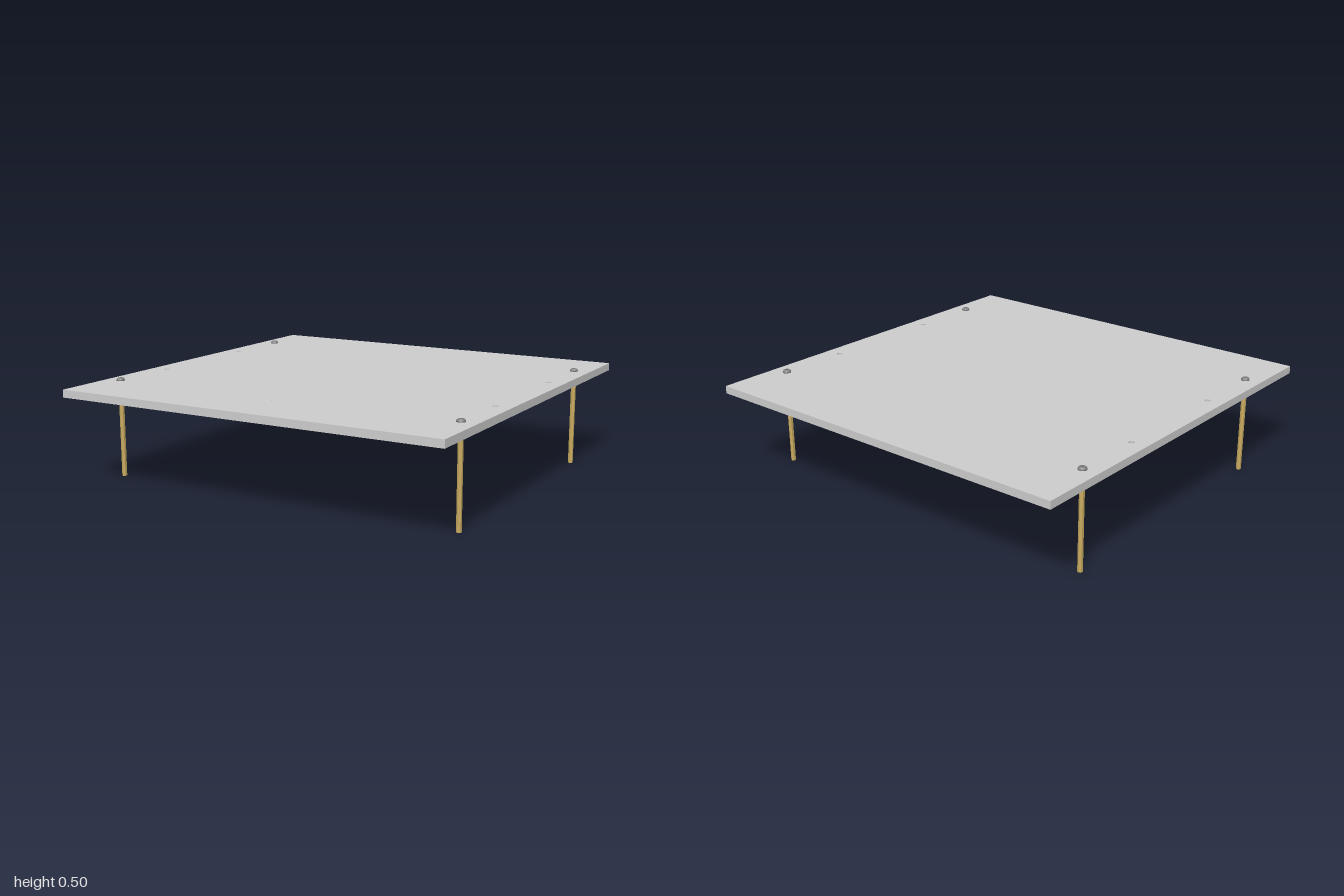
import * as THREE from 'three';

const PLATE_BOTTOM = 0.445, PLATE_TOP = 0.483;
const POST_X = 0.92, POST_Z = 0.68;

const plateMat = new THREE.MeshStandardMaterial({ color: 0xcccccc });
const brassMat = new THREE.MeshStandardMaterial({ color: 0xc8aa5f });
const steelMat = new THREE.MeshStandardMaterial({ color: 0x808080 });

function addHole(shape, x, y, r) {
  const hole = new THREE.Path();
  hole.absarc(x, y, r, 0, Math.PI * 2, true);
  shape.holes.push(hole);
}

function polygon(r, sides, start = 0) {
  const pts = [];
  for (let i = 0; i < sides; i++) {
    const a = start + (i / sides) * Math.PI * 2;
    pts.push(new THREE.Vector2(r * Math.cos(a), r * Math.sin(a)));
  }
  return pts;
}

// Extrude a plan outline (x, -z) upwards from y
function extrudeUp(shape, y, height) {
  const geo = new THREE.ExtrudeGeometry(shape, { depth: height, bevelEnabled: false, curveSegments: 16 });
  return geo.rotateX(-Math.PI / 2).translate(0, y, 0);
}

function part(name, geo, mat) {
  const mesh = new THREE.Mesh(geo, mat);
  mesh.name = name;
  return mesh;
}

// Square plate with clearance holes and one small pilot hole near the front
function makePlate() {
  const shape = new THREE.Shape([[-1, -1], [1, -1], [1, 1], [-1, 1]].map(p => new THREE.Vector2(...p)));
  for (const x of [-POST_X, POST_X]) {
    for (const z of [-0.32, 0.32]) addHole(shape, x, -z, 0.014);
    for (const z of [-POST_Z, POST_Z]) addHole(shape, x, -z, 0.012);
  }
  addHole(shape, 0, -0.72, 0.005);
  return part('plate', extrudeUp(shape, PLATE_BOTTOM, PLATE_TOP - PLATE_BOTTOM), plateMat);
}

// Hexagonal standoff with a bore, held by a button head screw
function makePost() {
  const post = new THREE.Group();
  const hex = new THREE.Shape(polygon(0.0125, 6, Math.PI / 2));
  addHole(hex, 0, 0, 0.007);
  post.add(part('standoff', extrudeUp(hex, 0, PLATE_BOTTOM), brassMat));

  const shank = new THREE.CylinderGeometry(0.007, 0.007, 0.1, 16);
  shank.translate(0, PLATE_TOP - 0.045, 0);
  post.add(part('screwShank', shank, steelMat));

  // Domed rim, open in the middle for the socket
  const rim = [[0, 0], [0.021, 0], [0.021, 0.004], [0.018, 0.010], [0.014, 0.013], [0.010, 0.014]];
  const dome = new THREE.LatheGeometry(rim.map(p => new THREE.Vector2(...p)), 24);
  dome.translate(0, PLATE_TOP, 0);
  post.add(part('screwHead', dome, steelMat));

  // Flat crown with a hexagonal socket
  const crown = new THREE.Shape(polygon(0.010, 24));
  crown.holes.push(new THREE.Path(polygon(0.008, 6).reverse()));
  post.add(part('screwSocket', extrudeUp(crown, PLATE_TOP + 0.006, 0.008), steelMat));
  const floor = new THREE.CircleGeometry(0.010, 24).rotateX(-Math.PI / 2).translate(0, PLATE_TOP + 0.006, 0);
  post.add(part('socketFloor', floor, steelMat));
  return post;
}

export function createModel() {
  const model = new THREE.Group();
  model.name = 'standoffPlate';
  model.add(makePlate());
  for (const [sideName, x] of [['Left', POST_X], ['Right', -POST_X]]) {
    for (const [endName, z] of [['front', POST_Z], ['back', -POST_Z]]) {
      const post = makePost();
      post.name = endName + sideName + 'Post';
      post.position.set(x, 0, z);
      model.add(post);
    }
  }
  return model;
}
